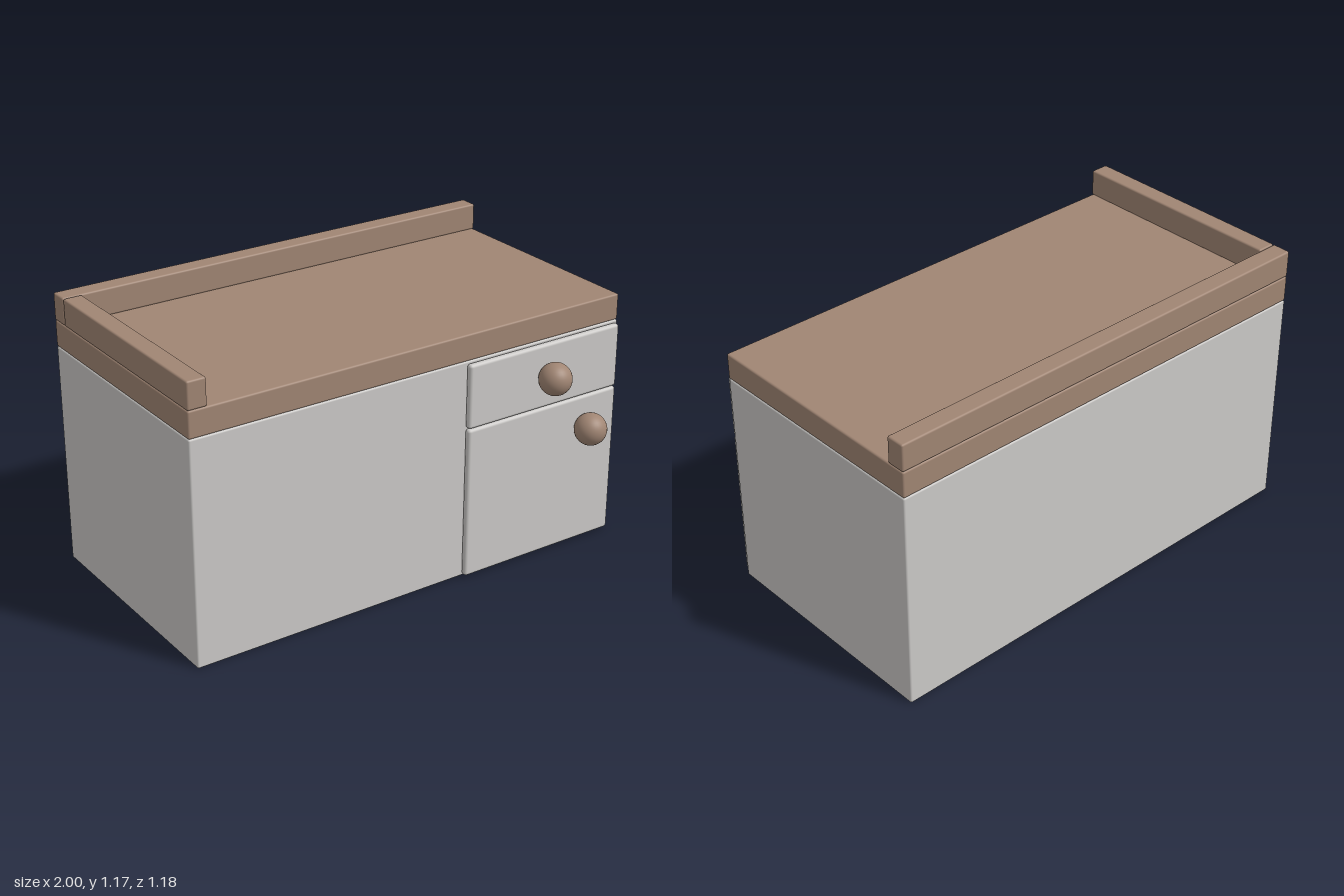
import * as THREE from 'three';
import { RoundedBoxGeometry } from 'three/addons/geometries/RoundedBoxGeometry.js';

export function createModel() {
  const model = new THREE.Group();
  model.name = 'cabinet';
  const paint = new THREE.MeshStandardMaterial({ name: 'pale grey paint', color: 0xcbc9c7 });
  const wood = new THREE.MeshStandardMaterial({ name: 'brown wood', color: 0xa08573 });

  // Softly bevelled board given by its [min, max] extents
  function board(name, material, [x0, x1], [y0, y1], [z0, z1], bevel = 0.008) {
    const geometry = new RoundedBoxGeometry(x1 - x0, y1 - y0, z1 - z0, 3, bevel);
    const mesh = new THREE.Mesh(geometry, material);
    mesh.name = name;
    mesh.position.set((x0 + x1) / 2, (y0 + y1) / 2, (z0 + z1) / 2);
    model.add(mesh);
  }

  function knob(name, x, y) {
    const mesh = new THREE.Mesh(new THREE.SphereGeometry(0.068, 32, 20), wood);
    mesh.name = name;
    mesh.position.set(x, y, 0.525);
    model.add(mesh);
  }

  // Carcass and worktop
  board('body', paint, [-1, 1], [0.003, 0.95], [-0.592, 0.442]);
  board('worktop', wood, [-1, 1], [0.95, 1.061], [-0.592, 0.442]);

  // Raised rails along the back and the right side
  board('backRail', wood, [-1, 1], [1.061, 1.175], [-0.592, -0.511]);
  board('sideRail', wood, [-1, -0.919], [1.061, 1.175], [-0.508, 0.442]);

  // Drawer and door fronts with round knobs
  board('drawerFront', paint, [0.228, 0.986], [0.67, 0.943], [0.442, 0.473], 0.013);
  board('doorFront', paint, [0.228, 0.986], [0.013, 0.667], [0.442, 0.473], 0.013);
  knob('drawerKnob', 0.612, 0.812);
  knob('doorKnob', 0.814, 0.539);

  return model;
}
